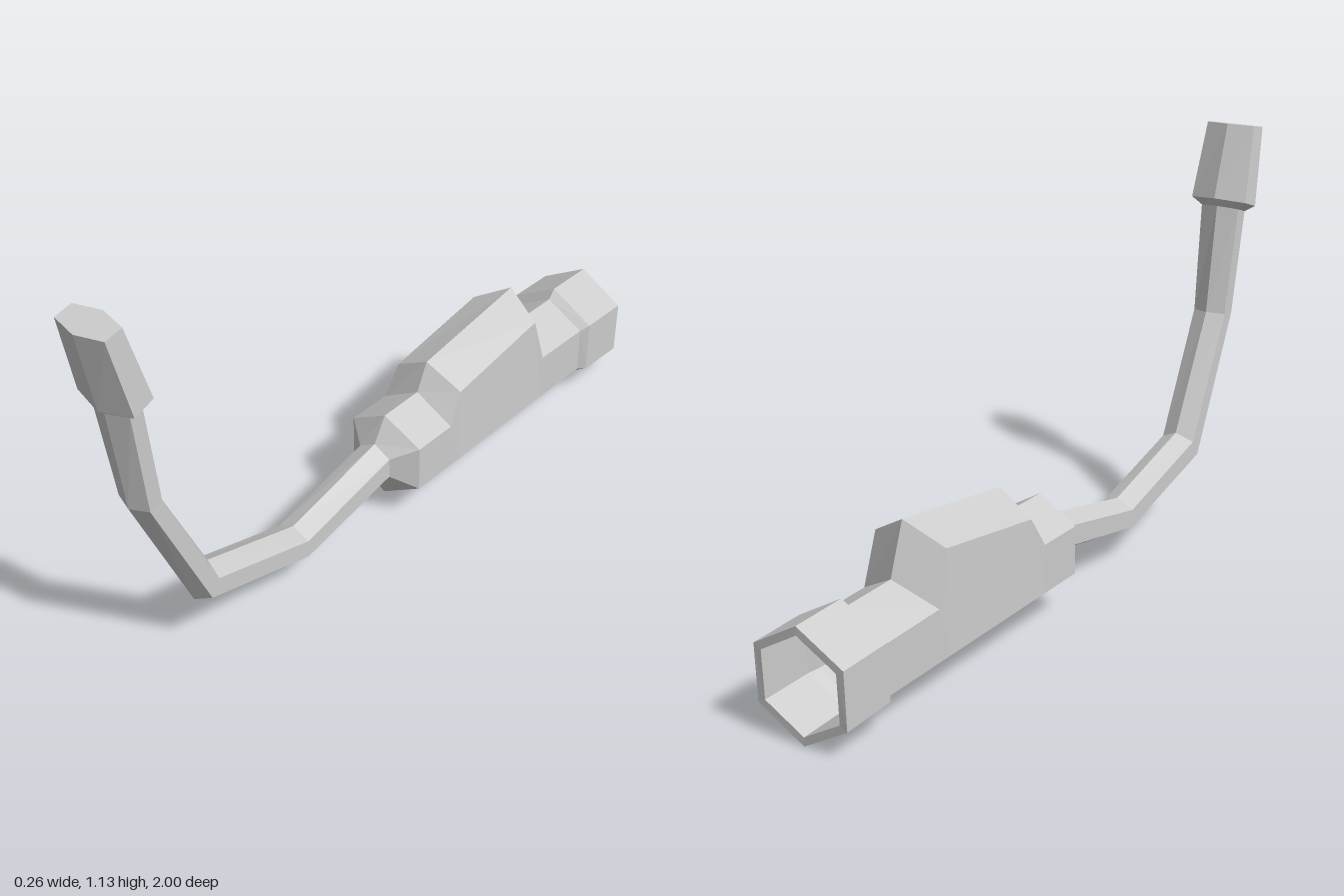
import * as THREE from 'three';

const material = new THREE.MeshStandardMaterial({ color: 0xcccccc, flatShading: true });

// Six-sided ring from [z, y] of its top, upper shoulder, lower shoulder and bottom
function ring(top, up, low, bottom, wUp, wLow = wUp) {
  const p = (x, [z, y]) => new THREE.Vector3(x, y, z);
  return [p(0, top), p(wUp, up), p(wLow, low), p(0, bottom), p(-wLow, low), p(-wUp, up)];
}

// Ring from its top and bottom points; s sets how far out the shoulders sit
function hex(top, bottom, w, s = 0.5) {
  const at = (t) => [0, 1].map((i) => (top[i] + bottom[i]) / 2 + t * (top[i] - bottom[i]) / 2);
  return ring(top, at(s), at(-s), bottom, w);
}

// Skin over successive rings, with optional flat ends
function loft(name, rings, capStart = false, capEnd = false) {
  const pos = [];
  const tri = (...pts) => pts.forEach((v) => pos.push(v.x, v.y, v.z));
  const cap = (r, flip) => {
    const c = r.reduce((sum, v) => sum.add(v), new THREE.Vector3()).divideScalar(6);
    r.forEach((v, k) => {
      const n = r[(k + 1) % 6];
      if (flip) tri(c, n, v); else tri(c, v, n);
    });
  };
  for (let i = 0; i < rings.length - 1; i++) {
    for (let k = 0; k < 6; k++) {
      const n = (k + 1) % 6, a = rings[i], b = rings[i + 1];
      tri(a[k], a[n], b[n]);
      tri(a[k], b[n], b[k]);
    }
  }
  if (capStart) cap(rings[0], true);
  if (capEnd) cap(rings[rings.length - 1], false);
  const geometry = new THREE.BufferGeometry();
  geometry.setAttribute('position', new THREE.Float32BufferAttribute(pos, 3));
  geometry.computeVertexNormals();
  const mesh = new THREE.Mesh(geometry, material);
  mesh.name = name;
  return mesh;
}

export function createModel() {
  const model = new THREE.Group();
  model.name = 'bentPipeDevice';

  // Tapered tip, flaring out of the thin pipe
  const neck = hex([0.86, 0.91], [0.935, 0.885], 0.06);
  model.add(loft('tip', [
    hex([0.91, 1.14], [1.0, 1.125], 0.075, 0.58),
    hex([0.843, 0.935], [0.953, 0.9], 0.087, 0.55),
    neck,
  ], true));

  // Thin bent pipe
  const joint = hex([0, 0.245], [0, 0.13], 0.05);
  model.add(loft('pipe', [
    neck,
    hex([0.812, 0.605], [0.892, 0.592], 0.05),
    hex([0.652, 0.28], [0.706, 0.19], 0.05),
    hex([0.335, 0.18], [0.335, 0.08], 0.05),
    joint,
  ]));

  // Body: the underside runs straight while the upper faces rise into a hump
  const section = (zTop, yTop, zUp, yUp, wUp = 0.113) => {
    const drop = (z) => -0.027 * (-z - 0.045) / 0.775;
    return ring([zTop, yTop], [zUp, yUp], [zUp, 0.119 + drop(zUp)], [zTop, 0.057 + drop(zTop)], wUp, 0.113);
  };
  const bodyEnd = section(-0.82, 0.29, -0.82, 0.225);
  model.add(loft('body', [
    joint,
    section(-0.043, 0.315, -0.05, 0.25),
    section(-0.185, 0.312, -0.188, 0.246),
    section(-0.225, 0.39, -0.238, 0.33, 0.106),
    section(-0.617, 0.433, -0.587, 0.373, 0.106),
    section(-0.665, 0.297, -0.627, 0.235),
    bodyEnd,
  ]));

  // Wider collar with a hollow, stepped socket
  model.add(loft('collar', [
    bodyEnd,
    hex([-0.843, 0.315], [-0.836, 0.015], 0.131),
    hex([-1.0, 0.307], [-0.988, 0.005], 0.131),
    hex([-1.0, 0.284], [-0.988, 0.028], 0.11),
    hex([-0.85, 0.288], [-0.845, 0.036], 0.108),
    hex([-0.82, 0.27], [-0.82, 0.052], 0.094),
    hex([-0.7, 0.272], [-0.7, 0.056], 0.094),
  ], false, true));

  return model;
}
